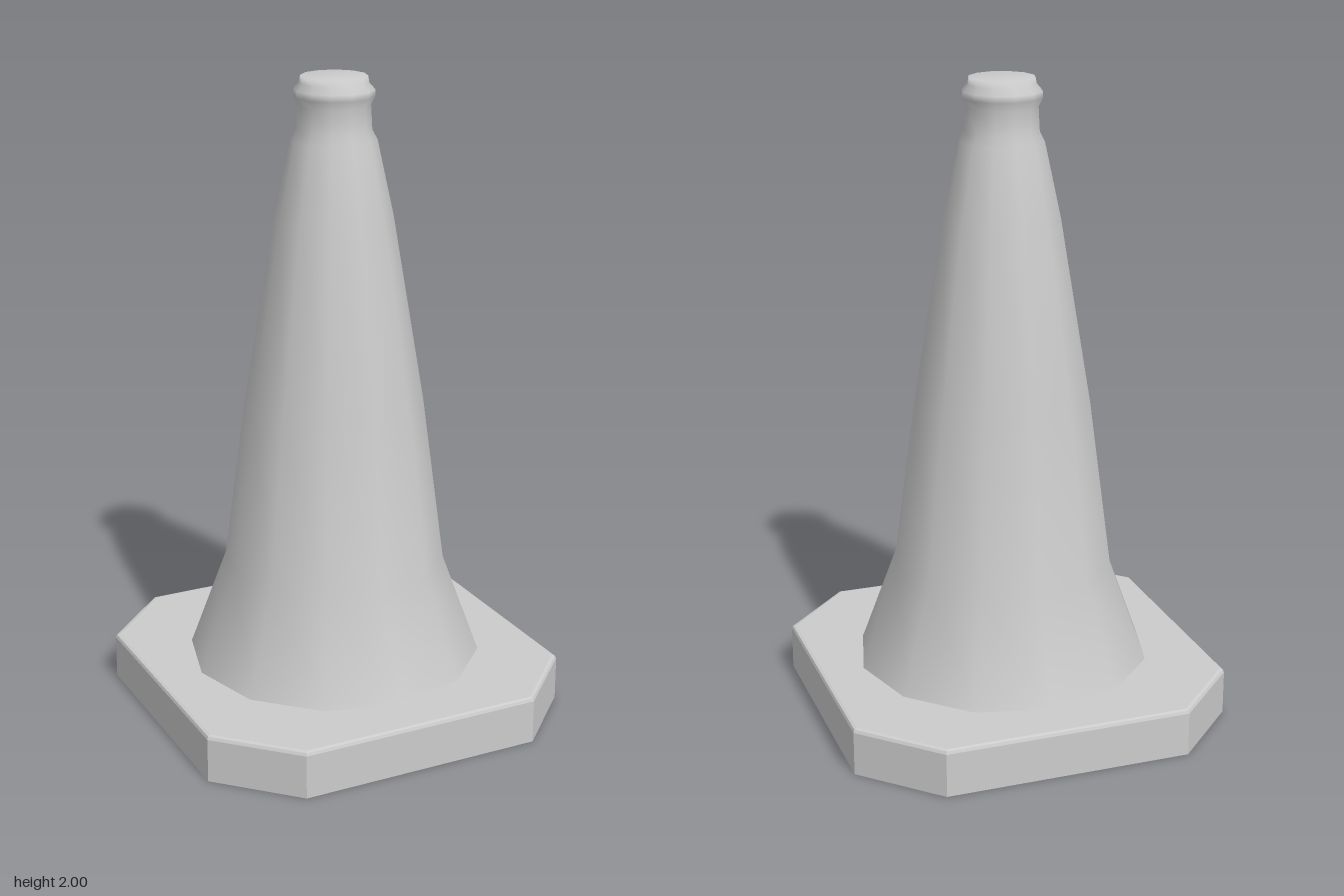
import * as THREE from 'three';

const HALF = 0.607, CUT = 0.387;

// Corners of the square with cut corners, scaled by s, at height y
function octagon(s, y) {
  const a = HALF * s, b = CUT * s;
  return [[a, b], [a, -b], [b, -a], [-b, -a], [-a, -b], [-a, b], [-b, a], [b, a]]
    .map(([x, z]) => [x, y, z]);
}

// Faceted skin through a list of octagon rings
function loft(rings) {
  const positions = [];
  for (let r = 0; r < rings.length - 1; r++) {
    const p = rings[r], q = rings[r + 1];
    for (let i = 0; i < 8; i++) {
      const j = (i + 1) % 8;
      positions.push(...p[i], ...q[i], ...q[j], ...p[i], ...q[j], ...p[j]);
    }
  }
  const geometry = new THREE.BufferGeometry();
  geometry.setAttribute('position', new THREE.Float32BufferAttribute(positions, 3));
  geometry.computeVertexNormals();
  return geometry;
}

export function createModel() {
  const group = new THREE.Group();
  const material = new THREE.MeshStandardMaterial({ color: 0xcccccc, side: THREE.DoubleSide });
  const add = (name, geometry, x = 0, y = 0, z = 0) => {
    const mesh = new THREE.Mesh(geometry, material);
    mesh.name = name;
    mesh.position.set(x, y, z);
    group.add(mesh);
    return mesh;
  };

  // Hollow twelve-sided cone with flared skirt, neck, collar and flat cap
  const profile = [
    [0.465, 0.15], [0.457, 0.17], [0.347, 0.47], [0.277, 1.0], [0.18, 1.58],
    [0.13, 1.81], [0.114, 1.84], [0.11, 1.915], [0.123, 1.94], [0.122, 1.96],
    [0.104, 1.98], [0.101, 2.0], [0, 2.0],
  ].map(([r, y]) => new THREE.Vector2(r, y));
  add('cone', new THREE.LatheGeometry(profile, 12), 0.003, 0, -0.002);

  // Base skirt: softened top edge, outer wall, rim and inner wall
  add('baseSkirt', loft([
    [0.98, 0.15], [0.994, 0.147], [1, 0.138], [1, 0], [0.96, 0], [0.91, 0.149],
  ].map(([s, y]) => octagon(s, y))));

  // Base top, open under the cone
  const plate = new THREE.Shape(octagon(0.98, 0).map(([x, , z]) => new THREE.Vector2(x, -z)));
  const opening = Array.from({ length: 12 }, (_, i) =>
    new THREE.Vector2(0.455 * Math.cos(i * Math.PI / 6), 0.455 * Math.sin(i * Math.PI / 6)));
  plate.holes.push(new THREE.Path(opening));
  add('baseTop', new THREE.ShapeGeometry(plate).rotateX(-Math.PI / 2), 0, 0.15, 0);

  // Feet tucked inside the four cut corners
  for (const sx of [-1, 1]) {
    for (const sz of [-1, 1]) {
      const foot = add('foot', new THREE.BoxGeometry(0.2, 0.09, 0.1), sx * 0.44, 0.047, sz * 0.44);
      foot.rotation.y = sx * sz * Math.PI / 4;
    }
  }

  // Shelf inside one wall, with a lip hanging from its edge
  add('innerShelf', new THREE.BoxGeometry(0.3, 0.01, 0.74), -0.42, 0.095, 0);
  add('shelfLip', new THREE.BoxGeometry(0.02, 0.06, 0.74), -0.27, 0.065, 0);

  return group;
}
